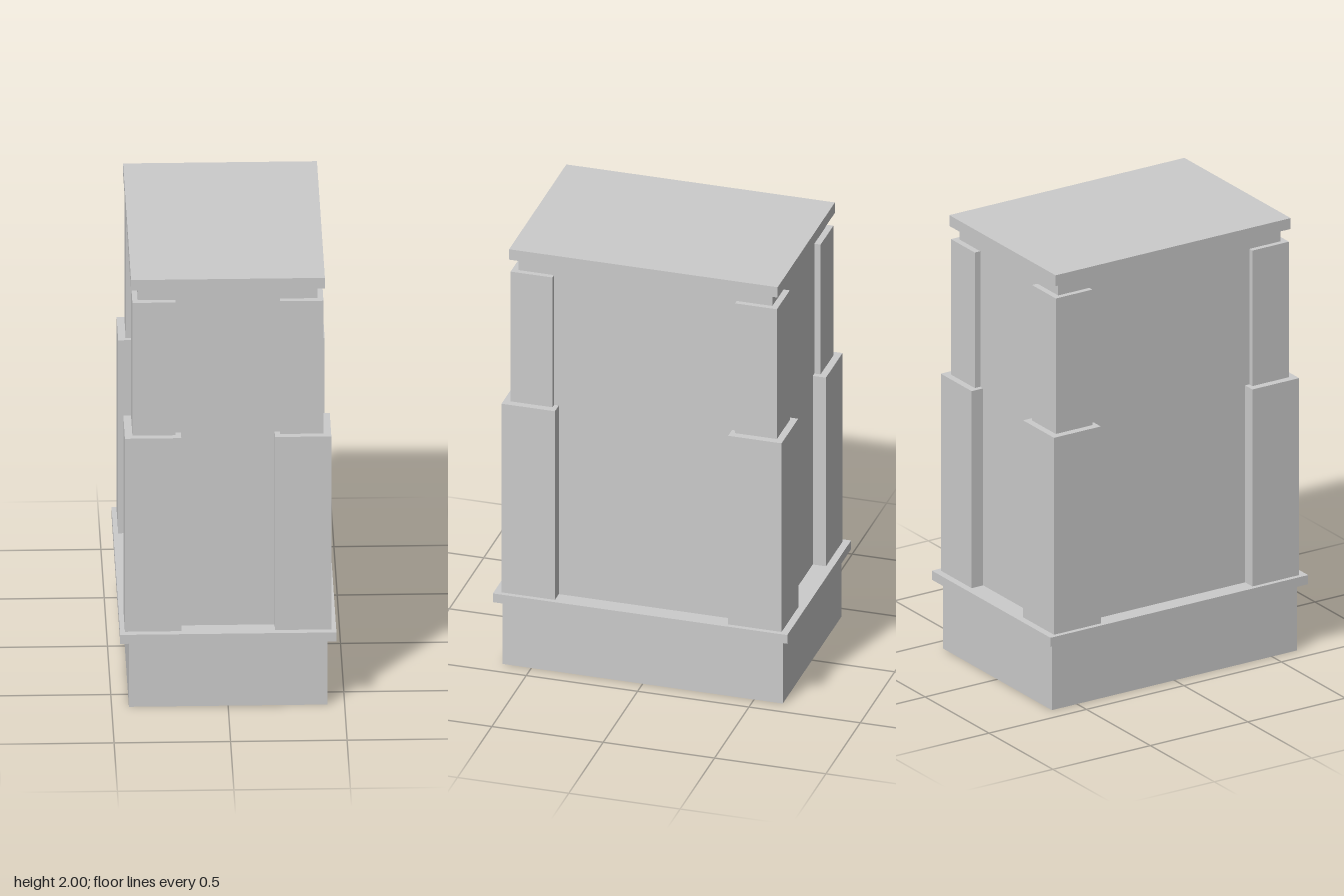
import * as THREE from 'three';

export function createModel() {
  const group = new THREE.Group();
  const material = new THREE.MeshStandardMaterial({ color: 0xcccccc, flatShading: true });

  // Box given by its width, depth, bottom, top and centre in plan
  function block(name, width, depth, bottom, top, x = 0, z = 0) {
    const mesh = new THREE.Mesh(new THREE.BoxGeometry(width, top - bottom, depth), material);
    mesh.position.set(x, (bottom + top) / 2, z);
    mesh.name = name;
    group.add(mesh);
  }

  // Stacked central blocks
  block('base', 0.852, 1.258, 0, 0.312);
  block('ledge', 0.928, 1.322, 0.312, 0.354);
  block('body', 0.772, 1.14, 0.354, 1.95);
  block('cap', 0.832, 1.206, 1.95, 2);

  // Two-stage buttress on each corner
  for (const sx of [-1, 1]) {
    for (const sz of [-1, 1]) {
      const corner = `${sz > 0 ? 'front' : 'back'}${sx > 0 ? 'Left' : 'Right'}`;
      block(`${corner}LowerPillar`, 0.242, 0.24, 0.354, 1.264, sx * 0.322, sz * 0.509);
      block(`${corner}UpperPillar`, 0.186, 0.188, 1.264, 1.89, sx * 0.317, sz * 0.504);
    }
  }
  return group;
}
